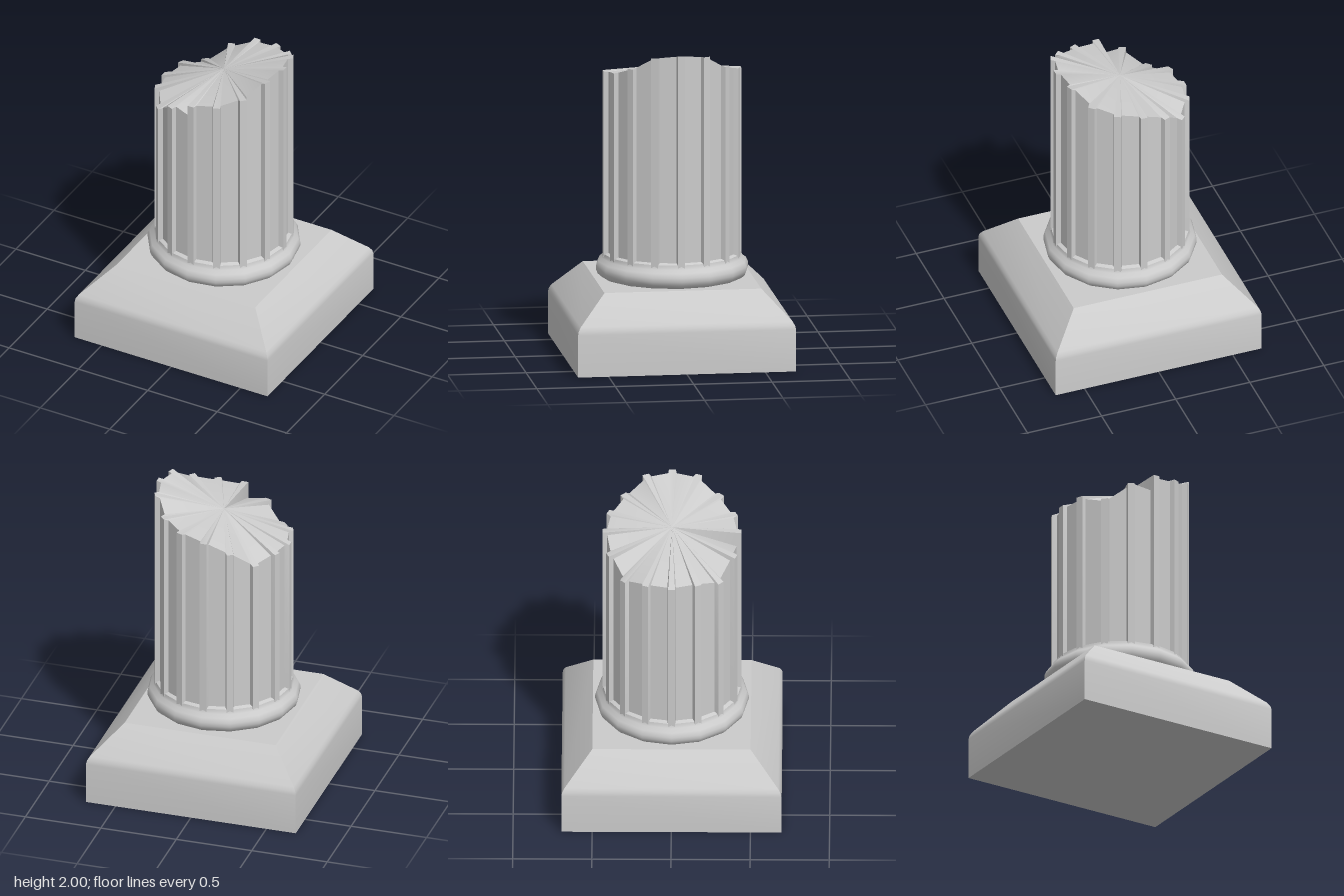
import * as THREE from 'three';
import { toCreasedNormals } from 'three/addons/utils/BufferGeometryUtils.js';

const material = new THREE.MeshStandardMaterial({ color: 0xcccccc });

function addPart(group, name, geometry, crease) {
  const mesh = new THREE.Mesh(toCreasedNormals(geometry, crease), material);
  mesh.name = name;
  group.add(mesh);
  return mesh;
}

const lathe = (profile, sides) =>
  new THREE.LatheGeometry(profile.map(([r, y]) => new THREE.Vector2(r, y)), sides);

// Fluted shaft: raised ribs with flat panels between, snapped off along a jagged slope
function shaftGeometry() {
  const bottom = 0.62;
  const ribs = 16;
  // Break height at each rib, from the left side (+x) round through the front
  const heights = [2, 1.985, 1.9, 1.85, 1.83, 1.75, 1.645, 1.69,
    1.68, 1.685, 1.655, 1.76, 1.83, 1.86, 1.9, 1.985];
  const chips = { 4: 0.08 }; // extra notch in the panel after this rib
  const rim = [];
  const point = (angle, r, y) => rim.push(new THREE.Vector3(r * Math.cos(angle), y, r * Math.sin(angle)));
  for (let k = 0; k < ribs; k++) {
    const a = (k / ribs) * Math.PI * 2;
    const h = heights[k];
    const before = heights[(k + ribs - 1) % ribs];
    const after = heights[(k + 1) % ribs];
    point(a - 0.065, 0.41, h + (before - h) * 0.15 - 0.005);
    point(a - 0.05, 0.44, h);
    point(a + 0.05, 0.44, h);
    point(a + 0.065, 0.41, h + (after - h) * 0.15 - 0.005 - (chips[k] || 0));
  }

  const centre = new THREE.Vector3(0, 1.86, 0);
  const corners = [];
  rim.forEach((p, i) => {
    const q = rim[(i + 1) % rim.length];
    const pb = p.clone().setY(bottom);
    const qb = q.clone().setY(bottom);
    corners.push(pb, p, q, pb, q, qb); // wall
    corners.push(centre, q, p); // broken top
  });
  return new THREE.BufferGeometry().setFromPoints(corners);
}

export function createModel() {
  const model = new THREE.Group();
  model.name = 'brokenColumn';

  // Square plinth with a softened shoulder and bevelled top
  const plinthProfile = [[0, 0], [0.695, 0], [0.695, 0.27], [0.69, 0.295], [0.675, 0.32], [0.5, 0.5], [0, 0.5]];
  const plinth = lathe(plinthProfile.map(([r, y]) => [r * Math.SQRT2, y]), 4);
  plinth.rotateY(Math.PI / 4);
  addPart(model, 'plinth', plinth, 0.6);

  // Rounded moulding and collar below the flutes
  addPart(model, 'baseMoulding', lathe([
    [0.44, 0.5], [0.455, 0.505], [0.475, 0.525], [0.485, 0.55], [0.485, 0.575],
    [0.472, 0.603], [0.447, 0.622], [0.44, 0.64], [0.438, 0.65], [0.4, 0.665],
  ], 16), 0.65);

  addPart(model, 'flutedShaft', shaftGeometry(), 0.5);
  return model;
}
